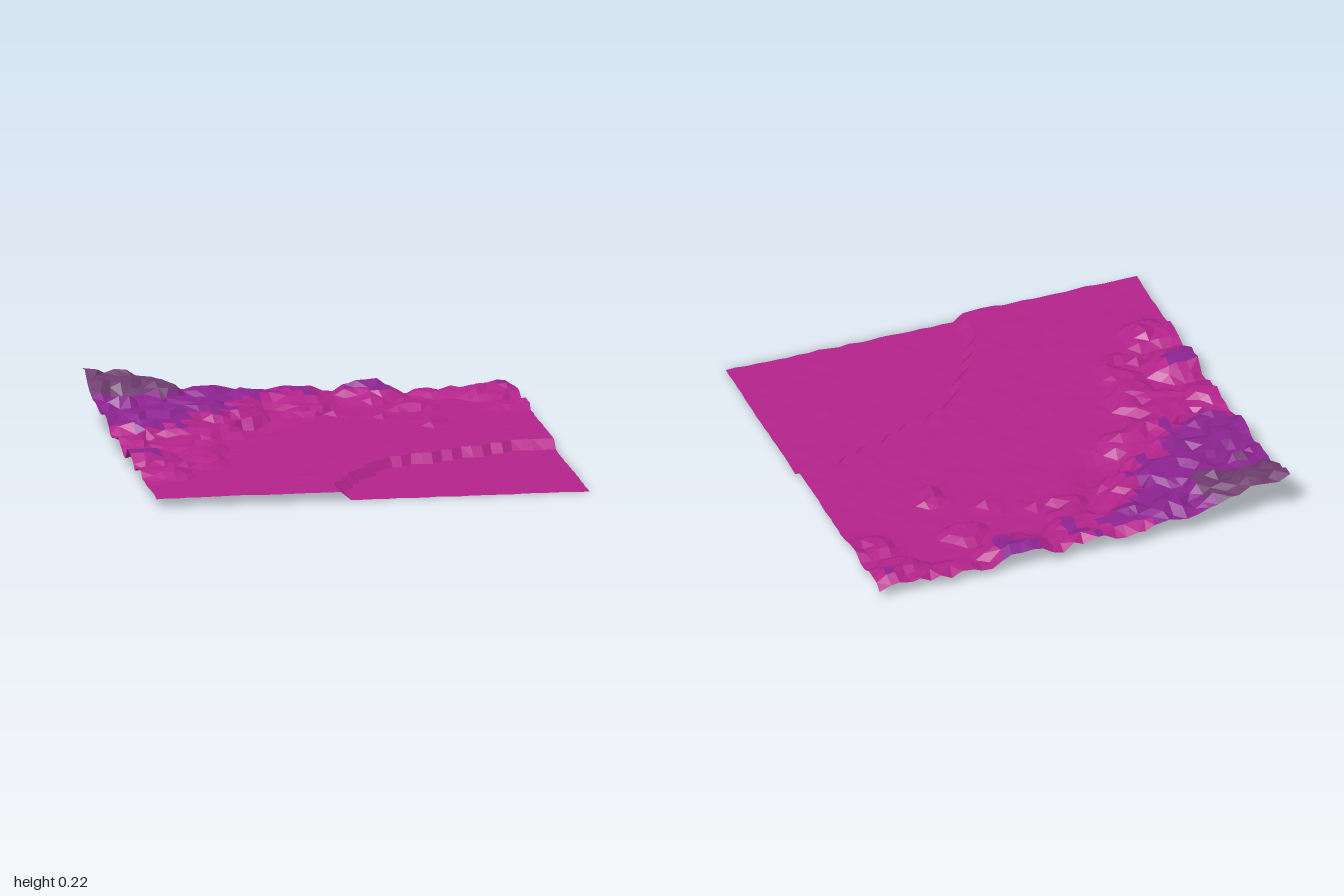
import * as THREE from 'three';

const N = 40; // cells per side

// Repeatable hash noise in 0..1
function hash(i, j) {
  const s = Math.sin(i * 127.1 + j * 311.7 + 4.3) * 43758.5453;
  return s - Math.floor(s);
}

// Hills: x, z, height above the plain, radius x, radius z
const hills = [
  [-0.88, -0.93, 0.165, 0.24, 0.24],
  [-0.7, -0.85, 0.13, 0.2, 0.22],
  [-0.92, -0.72, 0.1, 0.26, 0.2],
  [-0.82, -0.42, 0.08, 0.3, 0.24],
  [-0.48, -0.84, 0.08, 0.25, 0.24],
  [-0.62, -0.6, 0.075, 0.28, 0.24],
  [-0.27, -0.88, 0.07, 0.12, 0.14],
  [-0.88, -0.28, 0.085, 0.14, 0.1],
  [-0.62, -0.27, 0.058, 0.24, 0.15],
  [-0.36, -0.62, 0.045, 0.17, 0.18],
  [-0.45, -0.25, 0.035, 0.1, 0.1],
  [-0.95, -0.05, 0.06, 0.13, 0.13],
  [-0.68, 0.02, 0.028, 0.18, 0.22],
  [-0.9, 0.25, 0.055, 0.15, 0.12],
  [-0.66, 0.3, 0.022, 0.14, 0.15],
  [-0.88, 0.52, 0.04, 0.16, 0.12],
  [-0.05, -0.88, 0.05, 0.2, 0.16],
  [-0.02, -0.68, 0.025, 0.12, 0.14],
  [0.12, -0.58, 0.018, 0.07, 0.08],
  [0.3, -0.92, 0.066, 0.16, 0.14],
  [0.47, -0.68, 0.028, 0.1, 0.09],
  [0.28, -0.5, 0.018, 0.06, 0.08],
  [0.5, -0.36, 0.018, 0.07, 0.1],
  [0.62, -0.95, 0.028, 0.12, 0.08],
  [0.85, -0.9, 0.045, 0.16, 0.12],
  [0.92, -0.65, 0.02, 0.12, 0.12],
];

// Step between the plain and the low ground, as z, x pairs
const scarp = [
  [0.05, 1.05], [0.09, 0.8], [0.17, 0.6], [0.25, 0.4], [0.33, 0.2],
  [0.45, 0.09], [0.55, 0], [0.75, -0.1], [0.85, -0.14], [1.05, -0.14],
];

function scarpX(z) {
  if (z < scarp[0][0]) return 9;
  for (let k = 1; k < scarp.length; k++) {
    const [z0, x0] = scarp[k - 1], [z1, x1] = scarp[k];
    if (z <= z1) return x0 + (x1 - x0) * (z - z0) / (z1 - z0);
  }
  return -0.14;
}

function heightAt(x, z, i, j) {
  const grain = hash(i, j) - 0.5;
  if (x > scarpX(z)) return 0.01 + grain * 0.002;

  let rise = 0;
  for (const [hx, hz, h, rx, rz] of hills) {
    const d = ((x - hx) / rx) ** 2 + ((z - hz) / rz) ** 2;
    rise = Math.max(rise, h * Math.exp(-d * d * 1.2));
  }

  // Blocky, broken slopes: coarse and fine noise, partly terraced
  if (rise > 0.004) {
    const coarse = hash(Math.floor(i / 2) + 90, Math.floor(j / 2) + 40) - 0.5;
    rise += (coarse * 0.024 + grain * 0.022) * Math.min(1, rise / 0.03);
    rise = Math.max(0, rise);
    rise = 0.5 * rise + 0.5 * Math.round(rise / 0.03) * 0.03;
  }

  // Shallow hollow at the foot of the hills
  const hollow = ((x + 0.33) / 0.17) ** 2 + ((z + 0.44) / 0.16) ** 2;
  const dip = rise < 0.012 ? 0.028 * Math.exp(-hollow * hollow) : 0;
  return Math.min(0.23, 0.05 + rise - dip + grain * 0.003);
}

export function createModel() {
  const model = new THREE.Group();
  model.name = 'terrain';

  // Grid of points, shifted a little on rough ground
  const points = [];
  for (let j = 0; j <= N; j++) {
    for (let i = 0; i <= N; i++) {
      const x = -0.99 + 1.98 * i / N, z = -0.99 + 1.98 * j / N;
      const y = heightAt(x, z, i, j);
      const shift = y > 0.06 ? 0.024 : 0.006;
      const sx = i % N ? shift : 0.006, sz = j % N ? shift : 0.012;
      points.push(new THREE.Vector3(
        x + (hash(i + 7, j + 60) - 0.5) * sx, y,
        z + (hash(i + 33, j + 5) - 0.5) * sz));
    }
  }

  // Sort the cells into bands by height
  const bands = [
    { name: 'plain', material: 'magenta', color: 0xb3238b, top: 0.106, xyz: [] },
    { name: 'highHills', material: 'purple', color: 0x8c2390, top: 0.152, xyz: [] },
    { name: 'peak', material: 'greyPurple', color: 0x6e3c6e, top: 9, xyz: [] },
  ];
  for (let j = 0; j < N; j++) {
    for (let i = 0; i < N; i++) {
      const k = j * (N + 1) + i;
      const [a, b, c, d] = [k, k + 1, k + N + 1, k + N + 2].map((n) => points[n]);
      const mean = (a.y + b.y + c.y + d.y) / 4;
      const { xyz } = bands.find((band) => mean < band.top);
      const corners = Math.abs(a.y - d.y) < Math.abs(b.y - c.y)
        ? [a, c, d, a, d, b] : [a, c, b, b, c, d];
      for (const p of corners) xyz.push(p.x, p.y, p.z);
    }
  }

  // One faceted open sheet for each band
  for (const { name, material, color, xyz } of bands) {
    const geometry = new THREE.BufferGeometry();
    geometry.setAttribute('position', new THREE.Float32BufferAttribute(xyz, 3));
    geometry.computeVertexNormals();
    const paint = new THREE.MeshStandardMaterial({ color, flatShading: true, side: THREE.DoubleSide });
    paint.name = material;
    const mesh = new THREE.Mesh(geometry, paint);
    mesh.name = name;
    model.add(mesh);
  }
  return model;
}
